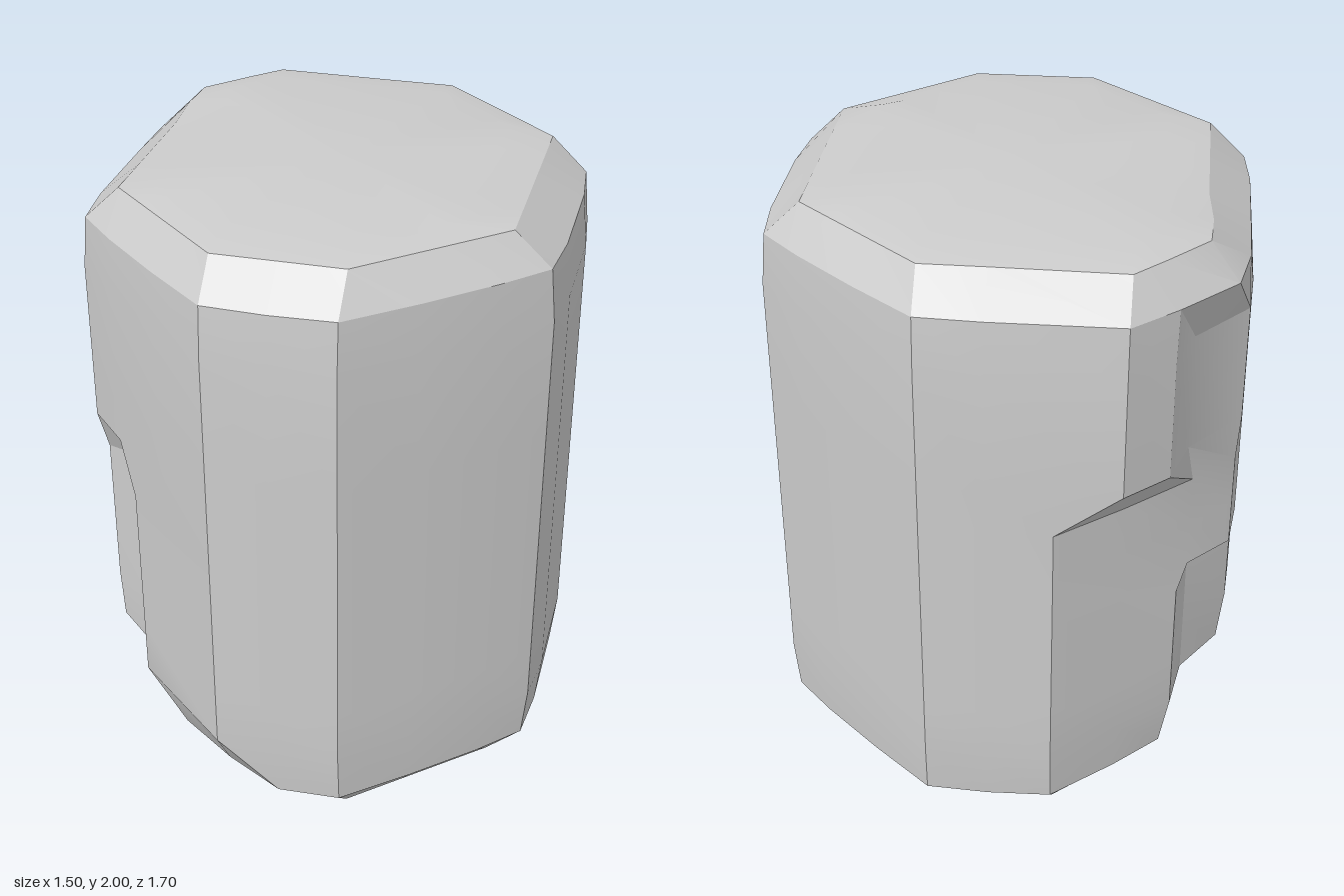
import * as THREE from 'three';
import { toCreasedNormals } from 'three/addons/utils/BufferGeometryUtils.js';

// Quarter outlines [|x|, |z|], running from the x axis to the z axis
const FULL = [[.75, 0], [.75, .18], [.73, .36], [.6, .495], [.4, .675], [.2, .84], [0, .85]];
const INNER = [[.6, 0], [.6, .18], [.6, .36], [.5, .45], [.35, .585], [.2, .72], [0, .72]];
// Corner left proud of the block, whole and dented
const PROUD = [[.75, 0], [.75, .18], [.745, .36], [.71, .54], [.54, .72], [.4, .845], [0, .85]];
const DENTED = [[.75, 0], [.75, .18], [.74, .36], [.58, .55], [.53, .72], [.4, .84], [0, .85]];
// Corners broken away
const FRONT_NOTCH = [[.75, 0], [.74, .14], [.73, .28], [.58, .33], [.54, .55], [.2, .84], [0, .85]];
const BACK_NOTCH = [[.75, 0], [.74, .16], [.6, .34], [.57, .53], [.4, .675], [.2, .84], [0, .85]];
// Chip low on the front
const FRONT_CHIP = [[.75, 0], [.74, .14], [.73, .28], [.58, .33], [.4, .6], [.2, .74], [0, .85]];

// Levels: height, inset towards INNER, limit of -x side, front and back outline of the -x half
const LEVELS = [
  [0, 1.9, .3, FRONT_NOTCH, FULL],
  [.03, 1, .4, FRONT_CHIP, FULL],
  [.13, .12, .54, FRONT_CHIP, BACK_NOTCH],
  [.3, 0, .72, FRONT_NOTCH, BACK_NOTCH],
  [.48, 0, 1, FRONT_NOTCH, BACK_NOTCH],
  [.76, 0, 1, FRONT_NOTCH, BACK_NOTCH],
  [.85, 0, 1, FRONT_NOTCH, FULL],
  [1, 0, 1, FRONT_NOTCH, FULL],
  [1.17, 0, 1, FULL, FULL],
  [1.32, 0, 1, FULL, DENTED],
  [1.7, 0, 1, FULL, DENTED],
  [1.87, .12, 1, FULL, PROUD],
  [1.98, 1, 1, FULL, PROUD],
  [2, 2, 1, FULL, PROUD],
];

// One closed ring of 24 points at a level
function ring([y, inset, limit, front, back]) {
  const points = [];
  const quarters = [[1, 1, FULL], [-1, 1, front], [-1, -1, back], [1, -1, FULL]];
  quarters.forEach(([sx, sz, outline], q) => {
    for (let k = 0; k < 6; k++) {
      const i = q % 2 ? 6 - k : k;
      const x = outline[i][0] - inset * (FULL[i][0] - INNER[i][0]);
      const z = outline[i][1] - inset * (FULL[i][1] - INNER[i][1]);
      points.push([Math.max(sx * x, -limit), y, sz * z]);
    }
  });
  return points;
}

function blockGeometry() {
  const rings = LEVELS.map(ring);
  const n = rings[0].length, last = rings.length - 1;
  const index = [];
  for (let j = 0; j < n; j++) {
    const k = (j + 1) % n;
    // walls
    for (let i = 0; i < last; i++) {
      const a = i * n + j, b = i * n + k;
      index.push(a, a + n, b + n, a, b + n, b);
    }
    // bottom and top caps
    const bottom = n * (last + 1);
    index.push(bottom, j, k, bottom + 1, last * n + k, last * n + j);
  }
  const positions = [...rings.flat(), [0, 0, 0], [0, 2, 0]].flat();
  const geometry = new THREE.BufferGeometry();
  geometry.setAttribute('position', new THREE.Float32BufferAttribute(positions, 3));
  geometry.setIndex(index);
  return toCreasedNormals(geometry, THREE.MathUtils.degToRad(24));
}

export function createModel() {
  const group = new THREE.Group();
  group.name = 'stonePillar';
  const block = new THREE.Mesh(blockGeometry(), new THREE.MeshStandardMaterial({ color: 0xcccccc }));
  block.name = 'chippedStoneBlock';
  group.add(block);
  return group;
}
